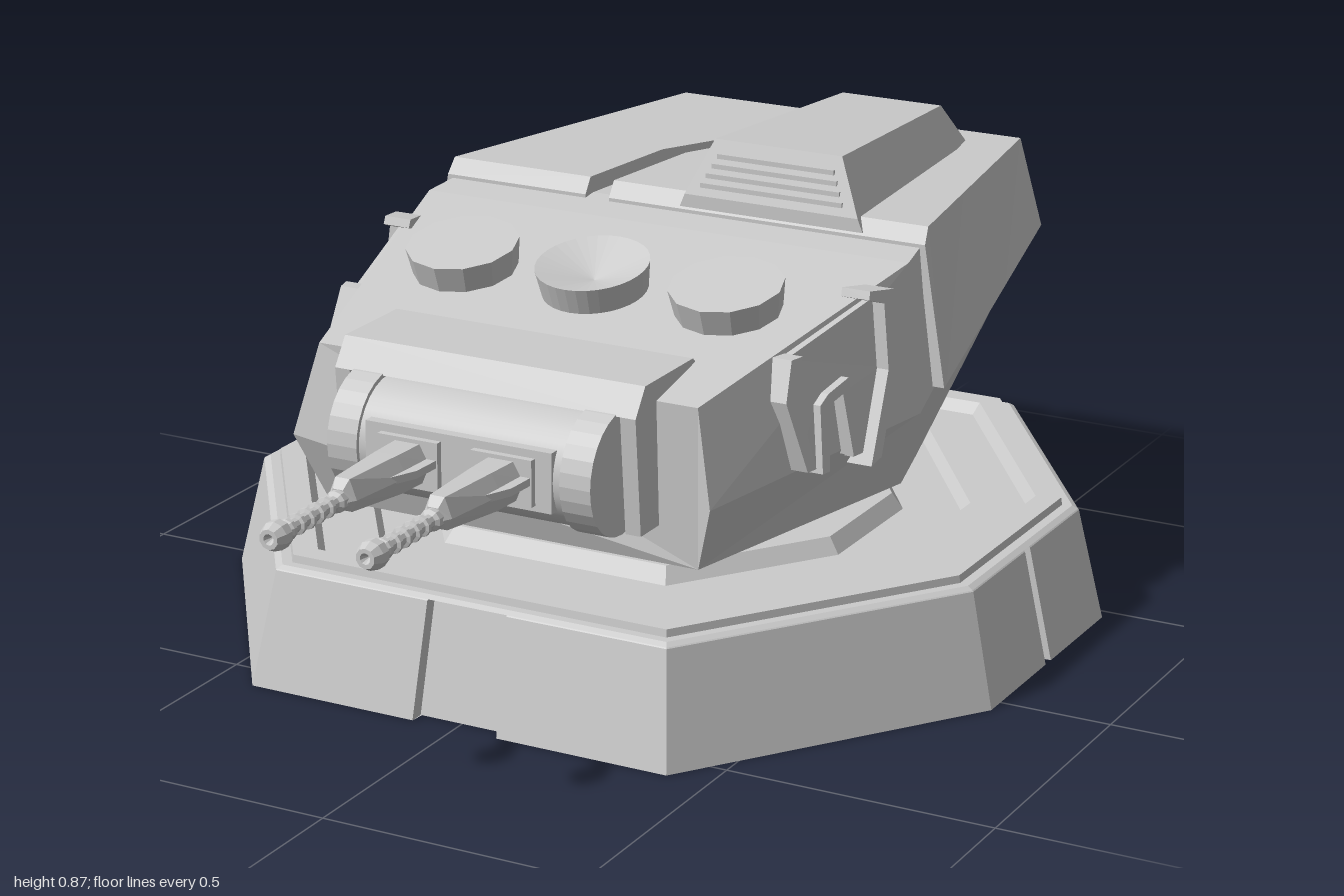
import * as THREE from 'three';

const flat = new THREE.MeshStandardMaterial({ color: 0xcccccc, flatShading: true });
const smooth = new THREE.MeshStandardMaterial({ color: 0xcccccc });

// Closed solid through rings of [x, y, z]; winding is turned outward by its volume.
function loft(rings, loop = false) {
  const tris = [], m = rings.length, n = rings[0].length;
  for (let i = 0; i < (loop ? m : m - 1); i++) {
    const a = rings[i], b = rings[(i + 1) % m];
    for (let j = 0; j < n; j++) {
      const k = (j + 1) % n;
      tris.push([a[j], a[k], b[k]], [a[j], b[k], b[j]]);
    }
  }
  if (!loop) {
    const a = rings[0], b = rings[m - 1];
    for (let j = 1; j < n - 1; j++) tris.push([a[0], a[j + 1], a[j]], [b[0], b[j], b[j + 1]]);
  }
  const v = (p) => new THREE.Vector3(...p);
  const volume = tris.reduce((s, [p, q, r]) => s + v(p).dot(v(q).cross(v(r))), 0);
  if (volume < 0) tris.forEach((t) => t.reverse());
  const geo = new THREE.BufferGeometry();
  geo.setAttribute('position', new THREE.Float32BufferAttribute(tris.flat(2), 3));
  geo.computeVertexNormals();
  return geo;
}

// Ring symmetric in x from half points [x, y, optional z]
const section = (z, half) => {
  const ring = half.map(([x, y, pz = z]) => [x, y, pz]);
  return [...ring, ...ring.map(([x, y, pz]) => [-x, y, pz]).reverse()];
};
// Convex [z, y] outline spanned from x0 to x1
const slab = (pts, x0, x1) => loft([x0, x1].map((x) => pts.map(([z, y]) => [x, y, z])));

// Octagon outline of half width s, with notches of depth d in the four main faces
const CZ = -0.215;
function octagon(s, y, d = 0) {
  const k = s / 0.79;
  const half = [[-0.42, 0.785], [-0.085, 0.785], [-0.085, 0.785 - d], [0.085, 0.785 - d], [0.085, 0.785], [0.42, 0.785],
    [0.79, 0.255], [0.79, 0.012], [0.79 - d, 0.012], [0.79 - d, -0.012], [0.79, -0.012], [0.79, -0.255]];
  return [...half, ...half.map(([x, z]) => [-x, -z])].map(([x, z]) => [x * k, y, z * k + CZ]);
}

// Half width of the upper hull side at (z, y)
function hullSide(z, y) {
  const t = (0.4 - z) / 0.6;
  const low = 0.42 + 0.11 * t, top = 0.38 + 0.12 * t, topY = 0.6 + 0.12 * t;
  return low + (top - low) * Math.max(0, (y - 0.43) / (topY - 0.43));
}

export function createModel() {
  const model = new THREE.Group();
  const add = (name, geo, parent = model, mat = flat) => {
    const mesh = new THREE.Mesh(geo, mat);
    mesh.name = name;
    parent.add(mesh);
    return mesh;
  };

  // Stepped hollow base
  add('base', loft([
    [0.79, 0, 0.028], [0.742, 0.21, 0.028], [0.74, 0.212], [0.73, 0.218], [0.712, 0.218], [0.71, 0.232],
    [0.665, 0.232], [0.65, 0.21], [0.55, 0.21], [0.535, 0.19], [0.43, 0.19], [0.41, 0.22], [0.18, 0.22],
    [0.18, 0.17], [0.38, 0.17], [0.4, 0.135], [0.46, 0.135], [0.5, 0.165], [0.57, 0.165], [0.6, 0.18], [0.69, 0.18], [0.75, 0],
  ].map((r) => octagon(...r)), true));

  // Round pedestal
  const foot = add('pedestalFoot', new THREE.CylinderGeometry(0.24, 0.24, 0.1, 40), model, smooth);
  foot.position.set(0, 0.195, CZ - 0.005);
  const bevel = add('pedestalBevel', new THREE.CylinderGeometry(0.222, 0.24, 0.015, 40), model, smooth);
  bevel.position.set(0, 0.2525, CZ - 0.005);
  const neck = add('pedestalNeck', new THREE.CylinderGeometry(0.185, 0.185, 0.1, 40), model, smooth);
  neck.position.set(0, 0.3, CZ - 0.005);

  const turret = new THREE.Group();
  turret.name = 'turret';
  model.add(turret);

  // Turret hull
  add('hull', loft([
    section(0.4, [[0.375, 0.3, 0.37], [0.42, 0.43, 0.415], [0.38, 0.6, 0.385]]),
    section(-0.2, [[0.495, 0.3], [0.53, 0.44], [0.5, 0.72]]),
    section(-0.3, [[0.48, 0.323], [0.52, 0.475], [0.485, 0.732]]),
    section(-0.9, [[0.38, 0.46], [0.42, 0.562], [0.37, 0.718]]),
    section(-0.98, [[0.37, 0.55], [0.4, 0.575], [0.355, 0.715]]),
  ]), turret);

  // Rear armour in two halves, split by a stepped slit
  const stations = [[-0.27, -0.2, -0.15, -0.03], [-0.29, -0.2, -0.15, 0], [-0.55, -0.185, -0.135, 0],
    [-0.72, -0.11, -0.065, 0], [-1, -0.085, -0.062, 0]];
  for (const side of [-1, 1]) {
    add(side < 0 ? 'rearArmourRight' : 'rearArmourLeft', loft(stations.map(([z, slitR, slitL, drop]) => {
      const t = (-0.27 - z) / 0.73, slit = side < 0 ? slitR : slitL;
      const low = 0.47 + 0.105 * t, top = 0.765 - 0.02 * t + drop;
      return [[side * (0.545 - 0.125 * t), low, z], [side * (0.5 - 0.13 * t), top, z], [slit, top, z], [slit, low, z]];
    })), turret);
  }

  // Raised vent housing with louvres
  add('ventHousing', loft([[-0.27, 0, 0.375, 0.74, 0.01, 0.365, 0.765], [-0.305, 0, 0.37, 0.74, 0.055, 0.315, 0.868],
    [-0.85, 0, 0.31, 0.73, 0.055, 0.265, 0.832], [-0.925, 0, 0.3, 0.73, 0.015, 0.285, 0.748]]
    .map(([z, a, b, y, c, d, top]) => [[a, y, z], [b, y, z], [d, top, z], [c, top, z]])), turret);
  for (let i = 0; i < 4; i++) {
    const y = 0.785 + i * 0.018;
    const slat = add('ventLouvre', new THREE.BoxGeometry(0.29 - i * 0.017, 0.009, 0.02), turret);
    slat.position.set(0.186, y, -0.275 - (y - 0.765) * 0.34);
  }

  // Three round roof pods; the middle one is a shallow dish
  for (const x of [-0.27, 0, 0.27]) {
    const profile = [[0, -0.03], [0.092, -0.03], [0.105, 0.055], [0, x ? 0.055 : 0.02]].map((p) => new THREE.Vector2(...p));
    const pod = add(x ? 'roofPod' : 'roofDish', new THREE.LatheGeometry(profile, x ? 12 : 32), turret);
    pod.position.set(x, 0.665, 0.055);
    pod.rotation.x = 0.22;
  }

  // Side fittings, laid on the sloping hull side
  const fittings = [
    ['sidePanel', 0.012, [[0.18, 0.44], [0.2, 0.57], [0.17, 0.635], [-0.09, 0.69], [-0.08, 0.56], [-0.02, 0.42],
      [0.02, 0.42], [0.03, 0.54], [0.1, 0.55], [0.12, 0.43]]],
    ['frontRib', 0.035, [[0.16, 0.44], [0.185, 0.44], [0.215, 0.57], [0.185, 0.64], [0.155, 0.64], [0.185, 0.57]]],
    ['rearRib', 0.035, [[0, 0.4], [-0.03, 0.41], [-0.095, 0.56], [-0.105, 0.7], [-0.04, 0.71], [-0.035, 0.695], [-0.075, 0.68], [-0.07, 0.56]]],
    ['hookRib', 0.026, [[0.13, 0.42], [0.115, 0.54], [0.09, 0.555], [0.03, 0.57], [0.02, 0.43], [0.04, 0.43],
      [0.05, 0.545], [0.09, 0.535], [0.11, 0.42]]],
  ];
  for (const [name, height, pts] of fittings) {
    const shape = new THREE.Shape(pts.map((p) => new THREE.Vector2(...p)));
    for (const side of [-1, 1]) {
      const geo = new THREE.ExtrudeGeometry(shape, { depth: height + 0.02, bevelEnabled: false });
      const p = geo.attributes.position;
      for (let i = 0; i < p.count; i++) {
        const z = p.getX(i), y = p.getY(i);
        p.setXYZ(i, side * (hullSide(z, y) + p.getZ(i) - 0.02), y, z);
      }
      // Swap two corners per triangle where the mapping mirrors the shape
      if (side > 0) {
        for (let i = 0; i < p.count; i += 3) {
          const a = [p.getX(i), p.getY(i), p.getZ(i)];
          p.setXYZ(i, p.getX(i + 1), p.getY(i + 1), p.getZ(i + 1));
          p.setXYZ(i + 1, ...a);
        }
      }
      geo.computeVertexNormals();
      add(name, geo, turret);
    }
  }

  // Gun mount: hood, cheeks and round mantlet
  add('mountHood', slab([[0.22, 0.61], [0.25, 0.638], [0.425, 0.638], [0.46, 0.588], [0.3, 0.588]], -0.3, 0.3), turret);
  for (const s of [-1, 1]) {
    add('mountCheek', slab([[0.3, 0.62], [0.43, 0.62], [0.46, 0.588], [0.44, 0.37], [0.3, 0.37]], s * 0.27, s * 0.3), turret);
    const cap = add('mantletCap', new THREE.CylinderGeometry(0.113, 0.113, 0.06, 28).rotateZ(Math.PI / 2), turret);
    cap.position.set(s * 0.232, 0.48, 0.438);
  }
  const mantlet = add('mantlet', new THREE.CylinderGeometry(0.105, 0.105, 0.44, 28).rotateZ(Math.PI / 2), turret, smooth);
  mantlet.position.set(0, 0.48, 0.438);
  const plate = add('mantletPlate', new THREE.BoxGeometry(0.37, 0.11, 0.1), turret);
  plate.position.set(0, 0.48, 0.497);

  // Twin guns
  const barrelProfile = [[0, 0], [0.02, 0], [0.02, 0.04]];
  for (let i = 0; i < 5; i++) {
    const z = 0.045 + i * 0.03;
    barrelProfile.push([0.013, z], [0.013, z + 0.018], [0.019, z + 0.02], [0.019, z + 0.028]);
  }
  barrelProfile.push([0.014, 0.2], [0.026, 0.21], [0.026, 0.228], [0.018, 0.245], [0.01, 0.245], [0, 0.225]);
  for (const x of [-0.093, 0.093]) {
    const gun = new THREE.Group();
    gun.name = 'gun';
    gun.position.set(x, 0.478, 0);
    turret.add(gun);
    const socket = add('gunSocket', new THREE.BoxGeometry(0.12, 0.085, 0.03), gun);
    socket.position.z = 0.545;
    add('receiver', loft([section(0.54, [[0.03, -0.035], [0.045, 0], [0.025, 0.035]]),
      section(0.63, [[0.03, -0.032], [0.042, 0], [0.022, 0.036]]),
      section(0.77, [[0.018, -0.022], [0.028, 0], [0.014, 0.036]]),
      section(0.785, [[0.012, -0.014], [0.02, 0], [0.01, 0.02]])]), gun);
    for (const s of [-1, 1]) {
      const fin = add('receiverFin', loft([[0.54, 0.058], [0.62, 0.055], [0.68, 0.03]].map(([z, w]) =>
        [[0, -0.007, z], [s * w, -0.007, z], [s * w, 0.007, z], [0, 0.007, z]])), gun);
      fin.position.y = 0.004;
    }
    const barrel = add('barrel', new THREE.LatheGeometry(barrelProfile.map((p) => new THREE.Vector2(...p)), 10).rotateX(Math.PI / 2), gun);
    barrel.position.z = 0.755;
  }
  return model;
}
